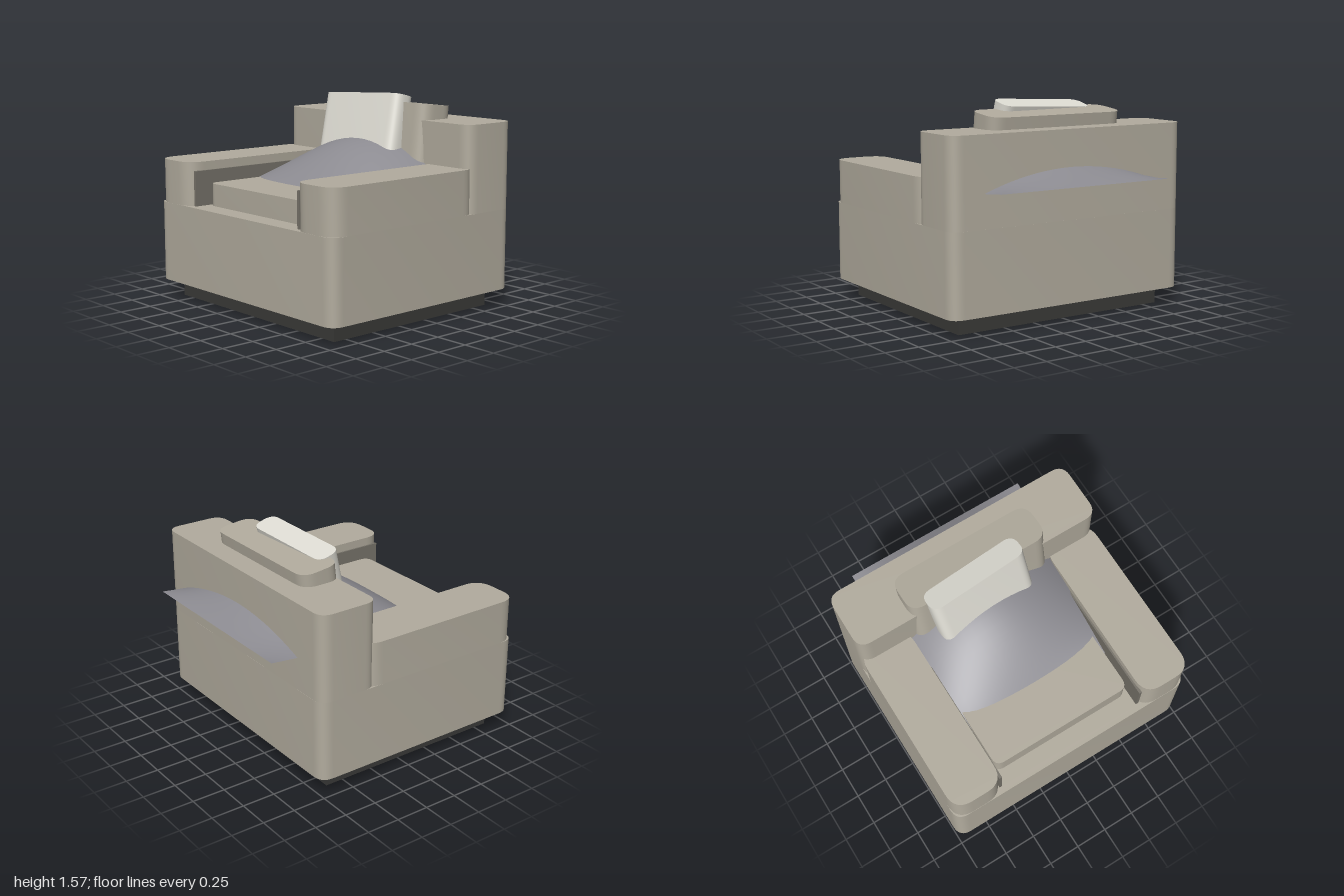
import * as THREE from 'three';
import { toCreasedNormals } from 'three/addons/utils/BufferGeometryUtils.js';

const fabric = new THREE.MeshStandardMaterial({ color: 0xb2ac9e });
const lining = new THREE.MeshStandardMaterial({ color: 0x77736a });
const dark = new THREE.MeshStandardMaterial({ color: 0x3a3a38 });
const light = new THREE.MeshStandardMaterial({ color: 0xdedcd3 });
const cloth = new THREE.MeshStandardMaterial({ color: 0x8c8b91, side: THREE.DoubleSide });

// Upright block with rounded corners in plan; x and z centred, y from y0 to y1
function block(name, material, width, depth, y0, y1, radius) {
  const a = width / 2, b = depth / 2, r = radius;
  const plan = new THREE.Shape();
  plan.moveTo(-a + r, -b);
  plan.lineTo(a - r, -b);
  plan.quadraticCurveTo(a, -b, a, -b + r);
  plan.lineTo(a, b - r);
  plan.quadraticCurveTo(a, b, a - r, b);
  plan.lineTo(-a + r, b);
  plan.quadraticCurveTo(-a, b, -a, b - r);
  plan.lineTo(-a, -b + r);
  plan.quadraticCurveTo(-a, -b, -a + r, -b);
  const geometry = new THREE.ExtrudeGeometry(plan, { depth: y1 - y0, bevelEnabled: false, curveSegments: 8 });
  geometry.rotateX(-Math.PI / 2).translate(0, y0, 0);
  const mesh = new THREE.Mesh(toCreasedNormals(geometry, 0.6), material);
  mesh.name = name;
  return mesh;
}

// Plain box given by its limits
function box(name, material, x0, x1, y0, y1, z0, z1) {
  const mesh = new THREE.Mesh(new THREE.BoxGeometry(x1 - x0, y1 - y0, z1 - z0), material);
  mesh.position.set((x0 + x1) / 2, (y0 + y1) / 2, (z0 + z1) / 2);
  mesh.name = name;
  return mesh;
}

// Thin sheet domed in the middle and sloping down towards the front
function makeThrow() {
  const width = 1.47, length = 1.48;
  const geometry = new THREE.PlaneGeometry(width, length, 20, 20).rotateX(-Math.PI / 2);
  const p = geometry.attributes.position;
  for (let i = 0; i < p.count; i++) {
    const u = p.getX(i) / (width / 2), v = p.getZ(i) / (length / 2);
    const dome = 0.31 * (1 - u * u) * Math.cos(v * Math.PI / 2);
    p.setY(i, 0.925 - 0.075 * v + dome);
  }
  geometry.computeVertexNormals();
  const mesh = new THREE.Mesh(geometry, cloth);
  mesh.position.set(0.01, 0, -0.24);
  mesh.name = 'throwBlanket';
  return mesh;
}

export function createModel() {
  const chair = new THREE.Group();
  chair.name = 'armchair';

  // Recessed plinth and main body
  chair.add(box('plinth', dark, -0.875, 0.875, 0, 0.135, -0.64, 0.855));
  const body = block('body', fabric, 2, 1.75, 0.135, 0.737, 0.1);
  body.position.z = 0.105;
  chair.add(body);

  // Backrest
  const back = block('backrest', fabric, 2, 0.465, 0.737, 1.38, 0.1);
  back.position.z = -0.537;
  chair.add(back);

  // Arms with their inner panels
  for (const [side, s] of [['left', 1], ['right', -1]]) {
    const arm = block(side + 'Arm', fabric, 0.4, 1.37, 0.737, 1.065, 0.14);
    arm.position.set(s * 0.8, 0, 0.293);
    chair.add(arm);
    const panel = box(side + 'ArmInnerPanel', lining, -0.011, 0.011, 0.72, 1.0, -0.35, 0.93);
    panel.position.x = s * 0.598;
    chair.add(panel);
  }

  // Seat cushion
  const seat = block('seatCushion', fabric, 1.135, 1.15, 0.72, 0.905, 0.07);
  seat.position.z = 0.245;
  chair.add(seat);

  // Back cushion, leaning back; origin at its top centre
  const backCushion = block('backCushion', fabric, 1.13, 0.31, -0.6, 0, 0.11);
  backCushion.position.set(0, 1.485, -0.453);
  backCushion.rotation.x = -0.115;
  chair.add(backCushion);

  // Throw pillow, leaning and slightly askew
  const pillow = block('throwPillow', light, 0.785, 0.185, -0.52, 0, 0.08);
  pillow.position.set(-0.05, 1.532, -0.315);
  pillow.rotation.set(-0.25, 0.04, 0.057);
  chair.add(pillow);

  chair.add(makeThrow());
  return chair;
}
